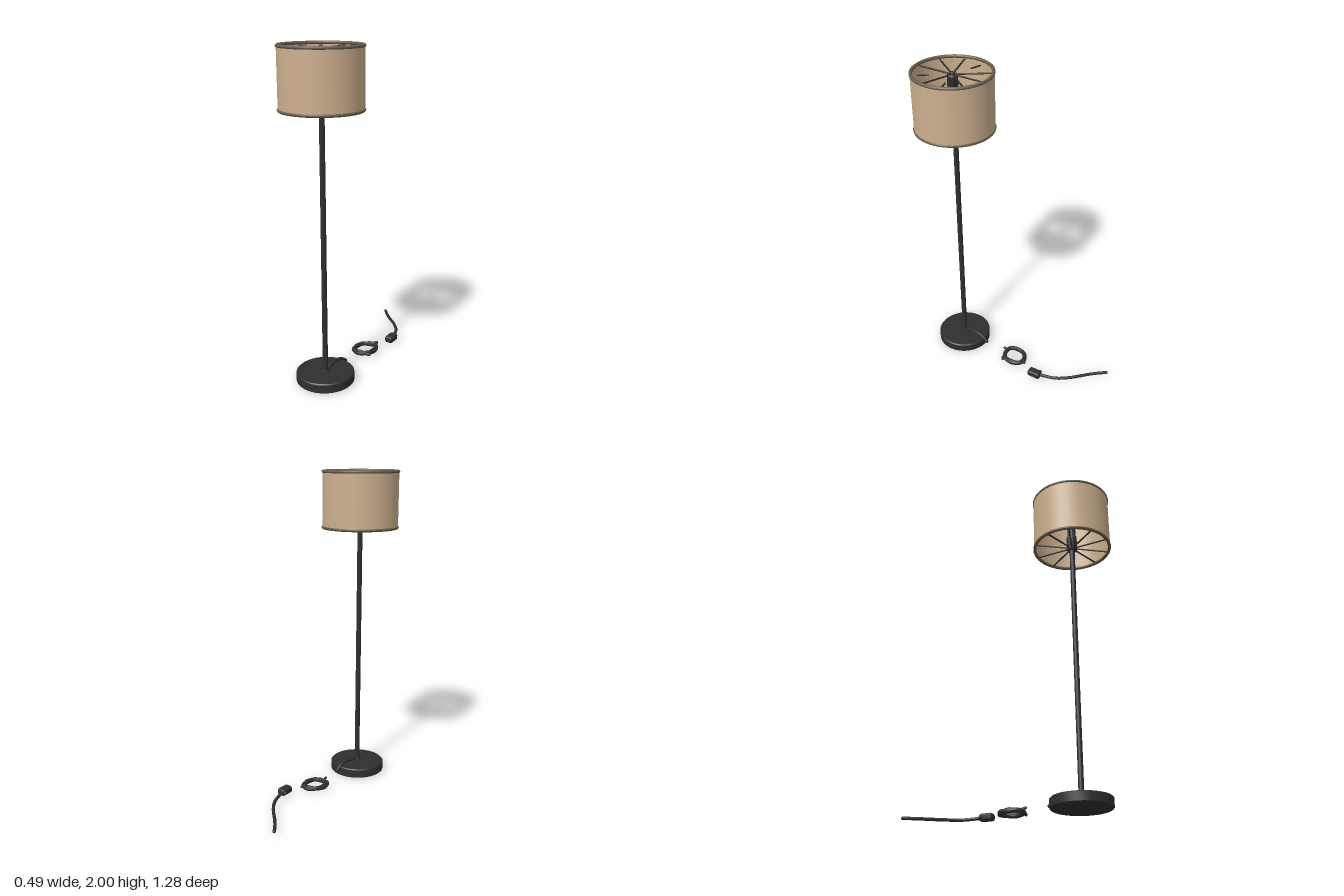
import * as THREE from 'three';
import { toCreasedNormals } from 'three/addons/utils/BufferGeometryUtils.js';
import { RoundedBoxGeometry } from 'three/addons/geometries/RoundedBoxGeometry.js';

export function createModel() {
  const black = new THREE.MeshStandardMaterial({ name: 'matte black', color: 0x2f2f2f });
  const linen = new THREE.MeshStandardMaterial({ name: 'tan linen', color: 0xcdb08f });
  const trim = new THREE.MeshStandardMaterial({ name: 'brown trim', color: 0x6b5e4d });

  const model = new THREE.Group();
  model.name = 'floorLamp';
  const lamp = new THREE.Group();
  lamp.name = 'lamp';
  lamp.position.z = 0.397;
  model.add(lamp);

  const add = (parent, name, geometry, material, x = 0, y = 0, z = 0) => {
    const mesh = new THREE.Mesh(geometry, material);
    mesh.name = name;
    mesh.position.set(x, y, z);
    parent.add(mesh);
    return mesh;
  };
  const lathe = (profile, segments = 64) => toCreasedNormals(
    new THREE.LatheGeometry(profile.map(([r, y]) => new THREE.Vector2(r, y)), segments), 0.6);

  // Tube through points, with rounded ends when open
  const cord = (parent, name, points, radius, closed = false) => {
    const pts = points.map((p) => new THREE.Vector3(...p));
    const curve = new THREE.CatmullRomCurve3(pts, closed);
    add(parent, name, new THREE.TubeGeometry(curve, 48, radius, 10, closed), black);
    if (closed) return;
    for (const p of [pts[0], pts[pts.length - 1]]) {
      add(parent, name + 'End', new THREE.SphereGeometry(radius, 10, 8), black, p.x, p.y, p.z);
    }
  };

  // Weighted base, pole and lamp holder
  add(lamp, 'base', lathe([[0, 0.002], [0.17, 0.002], [0.175, 0.007], [0.175, 0.056],
    [0.169, 0.062], [0, 0.062]]), black);
  add(lamp, 'poleCollar', new THREE.CylinderGeometry(0.024, 0.028, 0.015, 24), black, 0, 0.068, 0);
  add(lamp, 'pole', new THREE.CylinderGeometry(0.016, 0.016, 1.6, 24), black, 0, 0.86, 0);
  add(lamp, 'lampHolder', lathe([[0, 1.63], [0.026, 1.63], [0.032, 1.64], [0.032, 1.73],
    [0.026, 1.74], [0.026, 1.9], [0.032, 1.91], [0.032, 1.97], [0.026, 1.978], [0, 1.978]], 24), black);
  add(lamp, 'finial', new THREE.SphereGeometry(0.013, 16, 10), black, 0, 1.98, 0);

  // Drum shade with a thin wall
  add(lamp, 'shade', lathe([[0.239, 1.645], [0.239, 1.992], [0.231, 1.992], [0.231, 1.645],
    [0.239, 1.645]], 96), linen);
  for (const y of [1.646, 1.99]) {
    const rim = add(lamp, 'shadeRim', new THREE.TorusGeometry(0.234, 0.01, 10, 96), trim, 0, y, 0);
    rim.rotation.x = Math.PI / 2;
  }

  // Radial wires from the rims to the lamp holder
  const spoke = (angle, y, inner, outer, material) => {
    const length = outer - inner;
    const pivot = new THREE.Group();
    pivot.name = 'shadeSpoke';
    pivot.position.y = y;
    pivot.rotation.y = angle;
    lamp.add(pivot);
    const wire = add(pivot, 'wire', new THREE.CylinderGeometry(0.005, 0.005, length, 8), material,
      0, 0, inner + length / 2);
    wire.rotation.x = Math.PI / 2;
  };
  for (let i = 0; i < 10; i++) {
    const angle = i * Math.PI / 5;
    const broken = i === 1 || i === 3 || i === 7;
    spoke(angle, 1.975, broken ? 0.13 : 0.02, broken ? 0.2 : 0.23, black);
    spoke(angle, 1.65, 0.02, 0.23, i % 5 === 1 ? trim : black);
  }

  // Cord leaving the base
  cord(model, 'baseCord', [[0, 0.066, 0.38], [0.004, 0.08, 0.33], [0.008, 0.084, 0.29],
    [0.012, 0.072, 0.24], [0.015, 0.043, 0.198]], 0.01);

  // Coiled middle of the cord with loose ends
  const coil = [[-0.05, -0.02], [-0.033, -0.075], [0.012, -0.105], [0.055, -0.098],
    [0.08, -0.04], [0.06, 0.02], [0.01, 0.042], [-0.034, 0.028]];
  cord(model, 'cordCoil', coil.map(([x, z], i) => [x, 0.024 + (i % 2) * 0.005, z]), 0.014, true);
  cord(model, 'cordCoilStrand', coil.map(([x, z], i) =>
    [0.015 + (x - 0.015) * 0.95, 0.035 - (i % 2) * 0.008, -0.03 + (z + 0.03) * 0.95]), 0.011, true);
  cord(model, 'cordCoilTail', [[0.02, 0.03, -0.105], [0.036, 0.035, -0.116], [0.045, 0.036, -0.126]], 0.01);
  cord(model, 'cordCoilTail', [[0.05, 0.025, 0.03], [0.07, 0.025, 0.03], [0.083, 0.025, 0.024]], 0.009);
  cord(model, 'cordCoilTail', [[-0.005, 0.035, 0.035], [0, 0.042, 0.05], [0.003, 0.044, 0.06]], 0.008);

  // Foot switch and the cord running on from it
  add(model, 'footSwitch', new RoundedBoxGeometry(0.054, 0.044, 0.088, 3, 0.014), black, 0.093, 0.038, -0.236);
  add(model, 'switchButton', new THREE.SphereGeometry(0.013, 14, 10), black, 0.067, 0.038, -0.262);
  cord(model, 'tailCord', [[0.09, 0.038, -0.26], [0.08, 0.034, -0.295], [0.05, 0.028, -0.375],
    [-0.012, 0.025, -0.455], [-0.1, 0.021, -0.537], [-0.155, 0.019, -0.595], [-0.184, 0.018, -0.632]], 0.01);

  return model;
}
